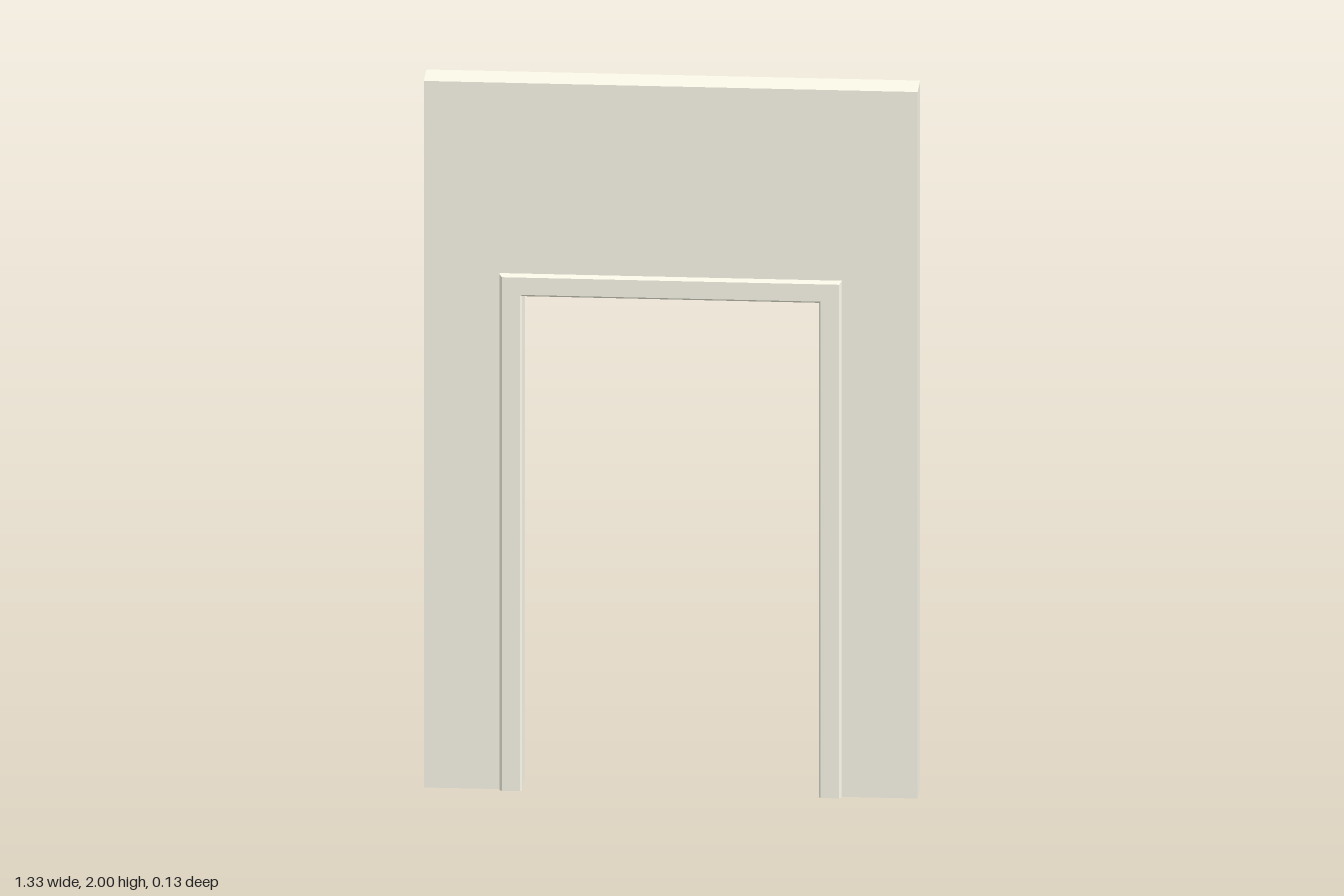
import * as THREE from 'three';

const HALF_W = 0.665, HEIGHT = 2, HALF_D = 0.049;   // wall
const OPEN_X = 0.4, OPEN_Y = 1.4;                   // doorway
const TRIM = 0.061, TRIM_Z = 0.063;                 // casing width and face depth

// Casing cross-section: [distance out from the doorway edge, z], inner to outer
const PROFILE = [
  [0, HALF_D], [0, TRIM_Z - 0.005], [0.005, TRIM_Z],
  [TRIM - 0.007, TRIM_Z], [TRIM, TRIM_Z - 0.007], [TRIM, HALF_D],
];

// Sweeps the profile up one jamb, across the head and down the other, with mitred corners
function casingGeometry() {
  const stations = [[1, 0], [1, 1], [-1, 1], [-1, 0]];
  const rings = stations.map(([side, top]) =>
    PROFILE.map(([o, z]) => [side * (OPEN_X + o), top * (OPEN_Y + o), z]));
  const pos = [];
  const tri = (a, b, c) => pos.push(...a, ...b, ...c);
  for (let s = 0; s < 3; s++) {
    for (let j = 0; j < PROFILE.length - 1; j++) {
      const a = rings[s][j], b = rings[s][j + 1];
      const c = rings[s + 1][j + 1], d = rings[s + 1][j];
      tri(a, b, c);
      tri(a, c, d);
    }
  }
  // Feet of the two jambs
  for (let j = 1; j < PROFILE.length - 1; j++) {
    tri(rings[0][0], rings[0][j + 1], rings[0][j]);
    tri(rings[3][0], rings[3][j], rings[3][j + 1]);
  }
  const geo = new THREE.BufferGeometry();
  geo.setAttribute('position', new THREE.Float32BufferAttribute(pos, 3));
  geo.computeVertexNormals();
  return geo;
}

export function createModel() {
  const group = new THREE.Group();
  group.name = 'doorwayWall';
  // Warm off-white plaster
  const material = new THREE.MeshStandardMaterial({ color: 0xfbf9e9, flatShading: true });

  // Wall panel with the doorway cut down to the floor
  const outline = new THREE.Shape([
    [-HALF_W, 0], [-OPEN_X, 0], [-OPEN_X, OPEN_Y], [OPEN_X, OPEN_Y],
    [OPEN_X, 0], [HALF_W, 0], [HALF_W, HEIGHT], [-HALF_W, HEIGHT],
  ].map(([x, y]) => new THREE.Vector2(x, y)));
  const wallGeo = new THREE.ExtrudeGeometry(outline, { depth: 2 * HALF_D, bevelEnabled: false });
  wallGeo.translate(0, 0, -HALF_D);
  const wall = new THREE.Mesh(wallGeo, material);
  wall.name = 'wall';
  group.add(wall);

  // Door casing on both faces
  const casingGeo = casingGeometry();
  for (const [name, turn] of [['frontCasing', 0], ['backCasing', Math.PI]]) {
    const casing = new THREE.Mesh(casingGeo, material);
    casing.name = name;
    casing.rotation.y = turn;
    group.add(casing);
  }
  return group;
}
